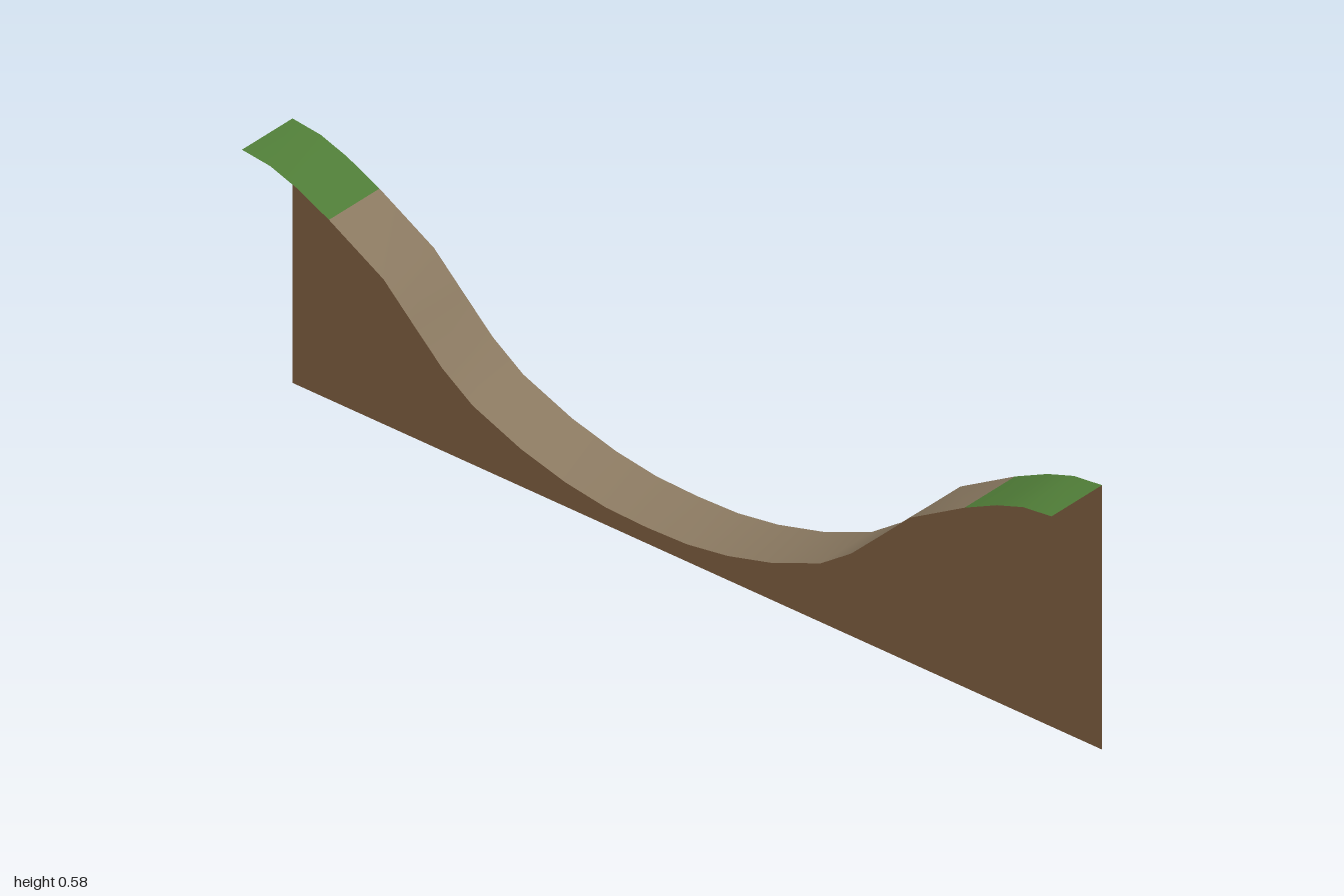
import * as THREE from 'three';

const WIDTH = 0.146;
const TURF_START = 0.785;

// Half of the valley profile, [z, y] from the middle to the rim
const HALF = [
  [0, 0.155], [0.1, 0.158], [0.2, 0.173], [0.31, 0.202], [0.43, 0.25], [0.505, 0.302],
  [0.58, 0.373], [0.65, 0.44], [TURF_START, 0.517], [0.865, 0.555], [0.93, 0.577], [1, 0.585],
];
const PROFILE = [...HALF.slice(1).reverse().map(([z, y]) => [-z, y]), ...HALF];

const material = (color) => new THREE.MeshStandardMaterial({ color, side: THREE.DoubleSide });

function mesh(name, geometry, mat) {
  const m = new THREE.Mesh(geometry, mat);
  m.name = name;
  return m;
}

// Ribbon across the full width that follows the given [z, y] points
function ribbon(points) {
  const g = new THREE.PlaneGeometry(WIDTH, 1, 1, points.length - 1).rotateX(-Math.PI / 2);
  const pos = g.attributes.position;
  for (let i = 0; i < pos.count; i++) {
    const [z, y] = points[Math.floor(i / 2)];
    pos.setY(i, y);
    pos.setZ(i, z);
  }
  g.computeVertexNormals();
  return g;
}

export function createModel() {
  const group = new THREE.Group();
  group.name = 'valleyTerrain';
  const earth = material(0x6b4f35);
  const path = material(0x8f7d64);
  const turf = material(0x528039);

  // Dirt track through the valley
  const track = PROFILE.filter(([z]) => Math.abs(z) <= TURF_START);
  group.add(mesh('dirtTrack', ribbon(track), path));

  // Grass on both rims
  group.add(mesh('backGrass', ribbon(PROFILE.filter(([z]) => z <= -TURF_START)), turf));
  group.add(mesh('frontGrass', ribbon(PROFILE.filter(([z]) => z >= TURF_START)), turf));

  // Single earth wall under the +x edge; ends, base and other side are open
  const outline = new THREE.Shape();
  outline.moveTo(-1, 0);
  outline.lineTo(1, 0);
  [...PROFILE].reverse().forEach(([z, y]) => outline.lineTo(z, y));
  const wall = new THREE.ShapeGeometry(outline).rotateY(Math.PI / 2).translate(WIDTH / 2, 0, 0);
  group.add(mesh('earthWall', wall, earth));

  return group;
}
